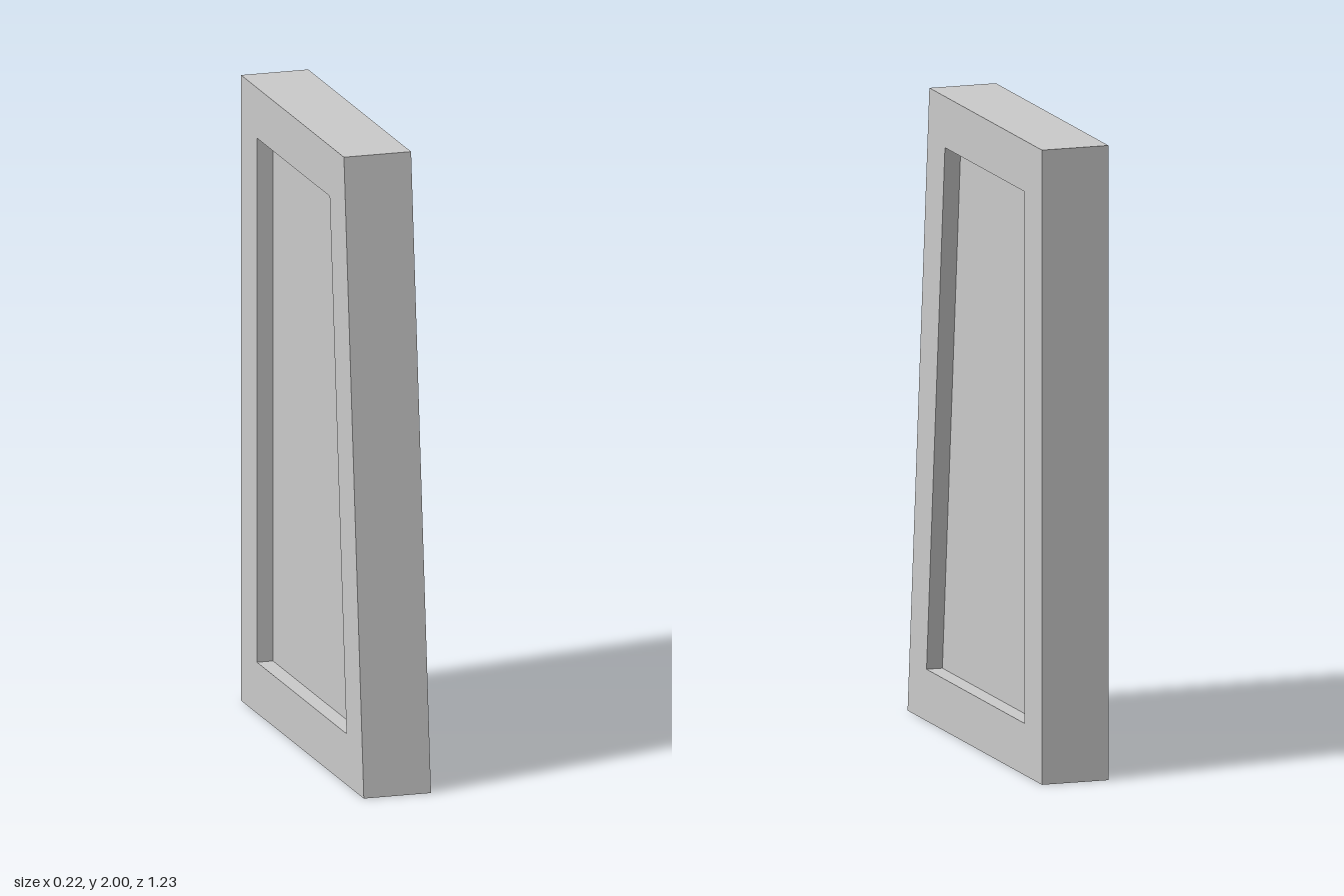
import * as THREE from 'three';

const THICKNESS = 0.218;
const RECESS = 0.052;

// Outlines as [z, y] corners, counter-clockwise
const OUTER = [[-0.617, 0], [0.617, 0], [0.417, 2], [-0.617, 2]];
const INNER = [[-0.457, 0.163], [0.443, 0.163], [0.274, 1.839], [-0.457, 1.839]];

const toPoints = (corners) => corners.map(([z, y]) => new THREE.Vector2(z, y));

// Extrudes a side outline across x, centred on x = 0
function slab(name, shape, depth, material) {
  const geometry = new THREE.ExtrudeGeometry(shape, { depth, bevelEnabled: false });
  geometry.translate(0, 0, -depth / 2);
  geometry.rotateY(-Math.PI / 2);
  const mesh = new THREE.Mesh(geometry, material);
  mesh.name = name;
  return mesh;
}

export function createModel() {
  const group = new THREE.Group();
  group.name = 'taperedPanel';
  const material = new THREE.MeshStandardMaterial({ color: 0xcccccc, flatShading: true });

  // Border with a sloping front edge
  const border = new THREE.Shape(toPoints(OUTER));
  border.holes.push(new THREE.Path(toPoints(INNER)));
  group.add(slab('frame', border, THICKNESS, material));

  // Thinner infill, recessed on both sides
  const infill = new THREE.Shape(toPoints(INNER));
  group.add(slab('recessedPanel', infill, THICKNESS - 2 * RECESS, material));

  return group;
}
